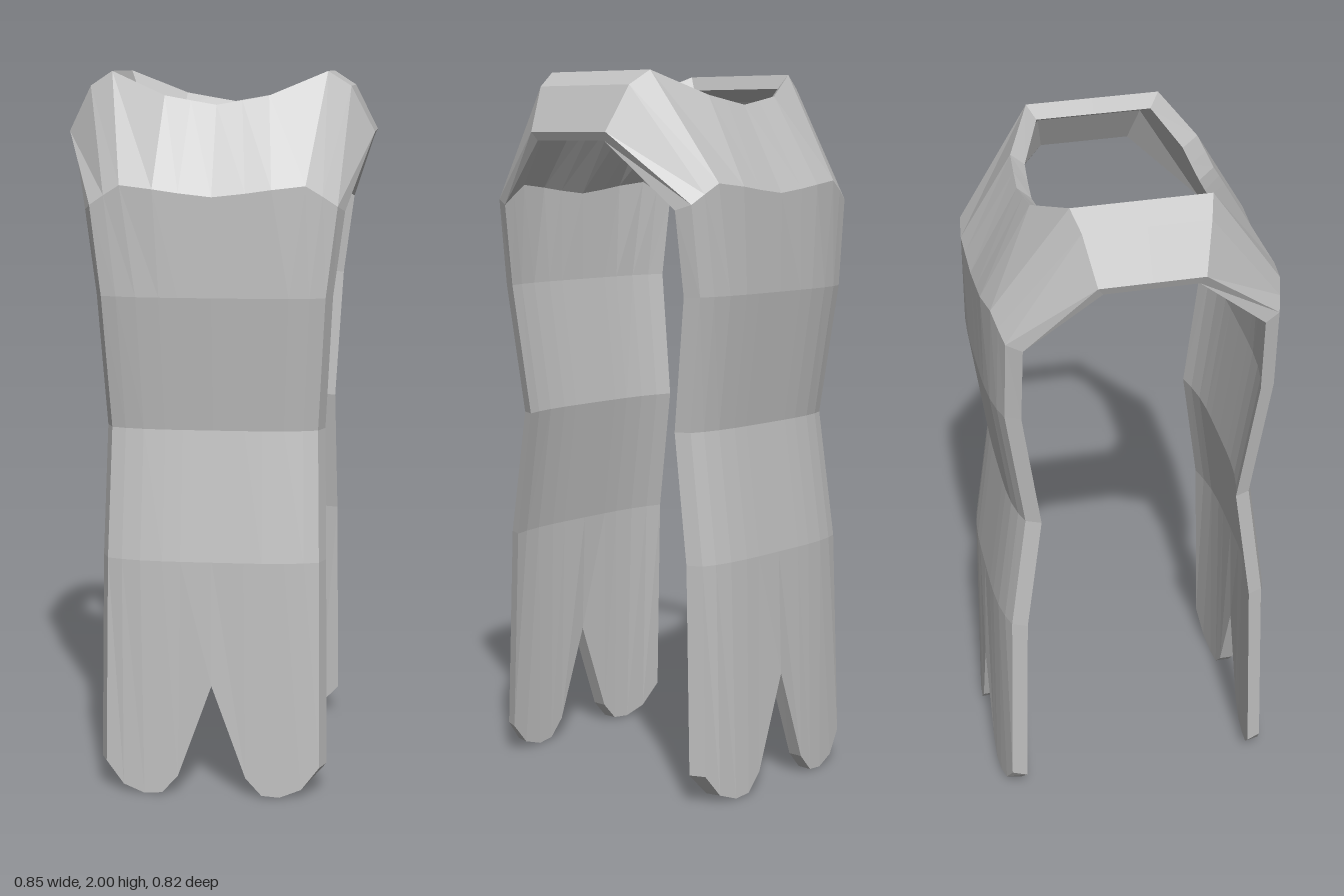
import * as THREE from 'three';

// Cross-sections of one quarter of the garment, columns run from the centre line to the side edge.
const COLS = [0, 0.3, 0.47, 0.68, 0.86, 1];

// Neck and shoulder row, outside and inside of the cloth
const neckOut = [[0, 1.91, 0.267], [0.07, 1.922, 0.263], [0.142, 1.935, 0.258], [0.297, 2, 0.185], [0.36, 1.96, 0.167], [0.425, 1.835, 0.14]];
const neckIn = [[0, 1.875, 0.228], [0.075, 1.885, 0.224], [0.145, 1.9, 0.219], [0.28, 1.96, 0.16], [0.345, 1.925, 0.145], [0.415, 1.812, 0.125]];
// Chest row, where the yoke turns into the hanging panel
const chestOut = [[0, 1.67, 0.4], [0.09, 1.68, 0.4], [0.16, 1.69, 0.4], [0.25, 1.7, 0.388], [0.295, 1.672, 0.377], [0.335, 1.645, 0.365]];
// Lower hem: a notch in the middle and a rounded lobe at each side
const hem = [[0, 0.32], [0.095, 0.055], [0.14, 0.005], [0.19, 0], [0.25, 0.022], [0.3, 0.085]];

// Panel rows: height, half width, depth at the centre
const level = (y, w, z) => COLS.map((f) => [f * w, y, z - 0.03 * f ** 4]);
const panelOut = [
  chestOut,
  level(1.4, 0.305, 0.4),
  level(1.03, 0.285, 0.35),
  level(0.67, 0.293, 0.4),
  hem.map(([x, y], c) => [x, y, 0.412 - 0.024 * COLS[c] ** 4]),
];
// Lining: set back by the cloth thickness and slightly wider at the side edge
const panelIn = panelOut.map((row, r) => row.map(([x, y, z], c) =>
  [x + 0.018 * COLS[c] ** 4, r === 0 ? y - 0.015 : y, z - 0.042]));

const yokeOut = [neckOut, chestOut];
const yokeIn = [neckIn, panelIn[0]];

// Collects quads of a quarter, mirrored into place
function makeBuilder() {
  const positions = [];
  return {
    quad(sx, sz, ...corners) {
      const p = corners.map(([x, y, z]) => [x * sx, y, z * sz]);
      if (sx * sz < 0) p.reverse();
      for (const i of [0, 1, 2, 0, 2, 3]) positions.push(...p[i]);
    },
    mesh(name, material) {
      const geometry = new THREE.BufferGeometry();
      geometry.setAttribute('position', new THREE.Float32BufferAttribute(positions, 3));
      geometry.computeVertexNormals();
      const mesh = new THREE.Mesh(geometry, material);
      mesh.name = name;
      return mesh;
    },
  };
}

// Outer face, lining and side rim of a quarter
function addCloth(b, sx, sz, o, n) {
  const last = COLS.length - 1;
  for (let r = 0; r < o.length - 1; r++) {
    for (let c = 0; c < last; c++) {
      b.quad(sx, sz, o[r][c], o[r + 1][c], o[r + 1][c + 1], o[r][c + 1]);
      b.quad(sx, sz, n[r][c], n[r][c + 1], n[r + 1][c + 1], n[r + 1][c]);
    }
    b.quad(sx, sz, o[r][last], o[r + 1][last], n[r + 1][last], n[r][last]);
  }
}

function makePanel(name, sz, material) {
  const b = makeBuilder();
  const o = panelOut[panelOut.length - 1];
  const n = panelIn[panelIn.length - 1];
  for (const sx of [1, -1]) {
    addCloth(b, sx, sz, panelOut, panelIn);
    // Hem rim
    for (let c = 0; c < COLS.length - 1; c++) b.quad(sx, sz, o[c], n[c], n[c + 1], o[c + 1]);
  }
  return b.mesh(name, material);
}

function makeYoke(material) {
  const b = makeBuilder();
  const mid = ([x, y]) => [x, y, 0];
  const [o, n] = [neckOut, neckIn];
  for (const sx of [1, -1]) {
    for (const sz of [1, -1]) {
      addCloth(b, sx, sz, yokeOut, yokeIn);
      // Neckline rim
      for (let c = 0; c < 3; c++) b.quad(sx, sz, o[c], o[c + 1], n[c + 1], n[c]);
      // Shoulder strap, top and underside
      for (let c = 3; c < 5; c++) {
        b.quad(sx, sz, o[c], o[c + 1], mid(o[c + 1]), mid(o[c]));
        b.quad(sx, sz, n[c], mid(n[c]), mid(n[c + 1]), n[c + 1]);
      }
      // Strap rims at the neck and the arm
      b.quad(sx, sz, o[3], mid(o[3]), mid(n[3]), n[3]);
      b.quad(sx, sz, o[5], n[5], mid(n[5]), mid(o[5]));
    }
  }
  return b.mesh('shoulderYoke', material);
}

export function createModel() {
  const cloth = new THREE.MeshStandardMaterial({ color: 0xc0c0c0 });
  cloth.name = 'greyCloth';
  cloth.flatShading = true;

  const group = new THREE.Group();
  group.name = 'tabard';
  group.add(makePanel('frontPanel', 1, cloth), makePanel('backPanel', -1, cloth), makeYoke(cloth));
  return group;
}
